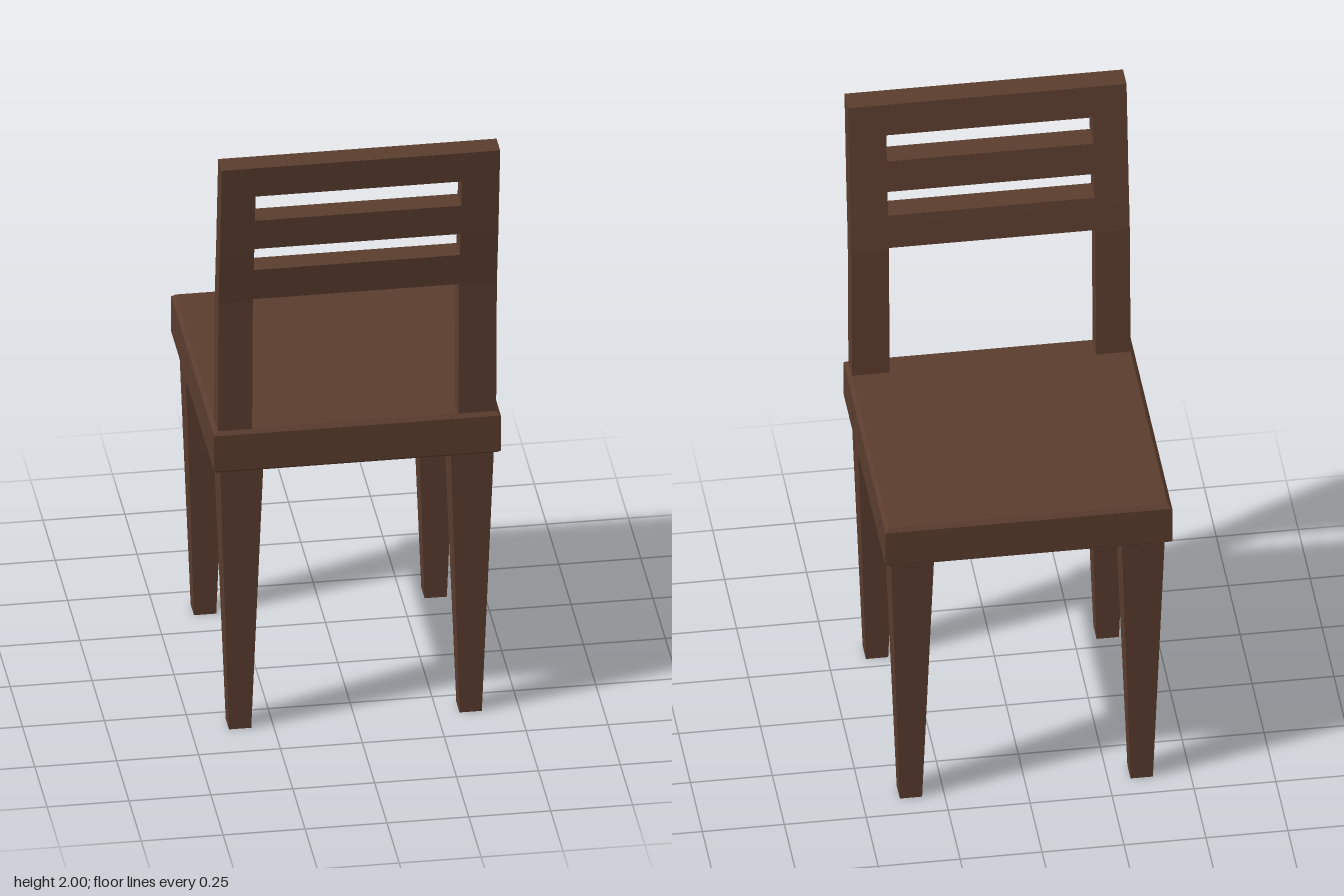
import * as THREE from 'three';

export function createModel() {
  const model = new THREE.Group();
  model.name = 'chair';
  const wood = new THREE.MeshStandardMaterial({ color: 0x5a3c2e, flatShading: true });
  wood.name = 'dark wood';

  const add = (geometry, name) => {
    const mesh = new THREE.Mesh(geometry.toNonIndexed(), wood);
    mesh.geometry.computeVertexNormals();
    mesh.name = name;
    model.add(mesh);
    return mesh;
  };

  // Seat: square four-sided lathe with bevelled edges and a hollow underside
  const seatProfile = [
    [0, 0.98], [0.422, 0.98], [0.422, 0.91], [0.426, 0.91], [0.4375, 0.92],
    [0.4375, 1.042], [0.425, 1.054], [0, 1.054],
  ].map(([half, y]) => new THREE.Vector2(half * Math.SQRT2, y));
  const seat = new THREE.LatheGeometry(seatProfile, 4).rotateY(Math.PI / 4);
  seat.translate(0, 0, -0.036);
  add(seat, 'seat');

  // Tapered square legs, running up into the hollow of the seat
  for (const side of [-1, 1]) {
    for (const [z, end] of [[-0.387, 'front'], [0.325, 'back']]) {
      const leg = new THREE.CylinderGeometry(0.068 * Math.SQRT2, 0.034 * Math.SQRT2, 0.98, 4);
      leg.rotateY(Math.PI / 4).translate(side * 0.352, 0.49, z);
      add(leg, `${end}${side > 0 ? 'Left' : 'Right'}Leg`);
    }
  }

  // Curve of the backrest: [height, front z, back z]
  const curve = [
    [1.05, 0.314, 0.39], [1.5, 0.33, 0.404], [1.6, 0.344, 0.419],
    [1.7, 0.36, 0.435], [2.0, 0.398, 0.472],
  ];
  const sectionAt = (y) => {
    let i = 0;
    while (i < curve.length - 2 && y > curve[i + 1][0]) i++;
    const [a, b] = [curve[i], curve[i + 1]];
    const t = (y - a[0]) / (b[0] - a[0]);
    return [y, a[1] + (b[1] - a[1]) * t, a[2] + (b[2] - a[2]) * t];
  };

  // A piece of the backrest between two heights and two x positions
  const backPiece = (x0, x1, y0, y1, name) => {
    const rows = [y0, ...curve.map((c) => c[0]).filter((y) => y > y0 && y < y1), y1].map(sectionAt);
    const outline = [
      ...rows.map(([y, , back]) => new THREE.Vector2(back, y)),
      ...rows.reverse().map(([y, front]) => new THREE.Vector2(front, y)),
    ];
    const geometry = new THREE.ExtrudeGeometry(new THREE.Shape(outline), {
      depth: x1 - x0, bevelEnabled: false,
    });
    add(geometry.rotateY(-Math.PI / 2).translate(x1, 0, 0), name);
  };

  // Posts and the three rails between them
  backPiece(-0.425, -0.32, 1.05, 2, 'rightBackPost');
  backPiece(0.31, 0.425, 1.05, 2, 'leftBackPost');
  backPiece(-0.32, 0.31, 1.51, 1.62, 'lowerRail');
  backPiece(-0.32, 0.31, 1.7, 1.805, 'middleRail');
  backPiece(-0.32, 0.31, 1.895, 2, 'topRail');

  return model;
}
